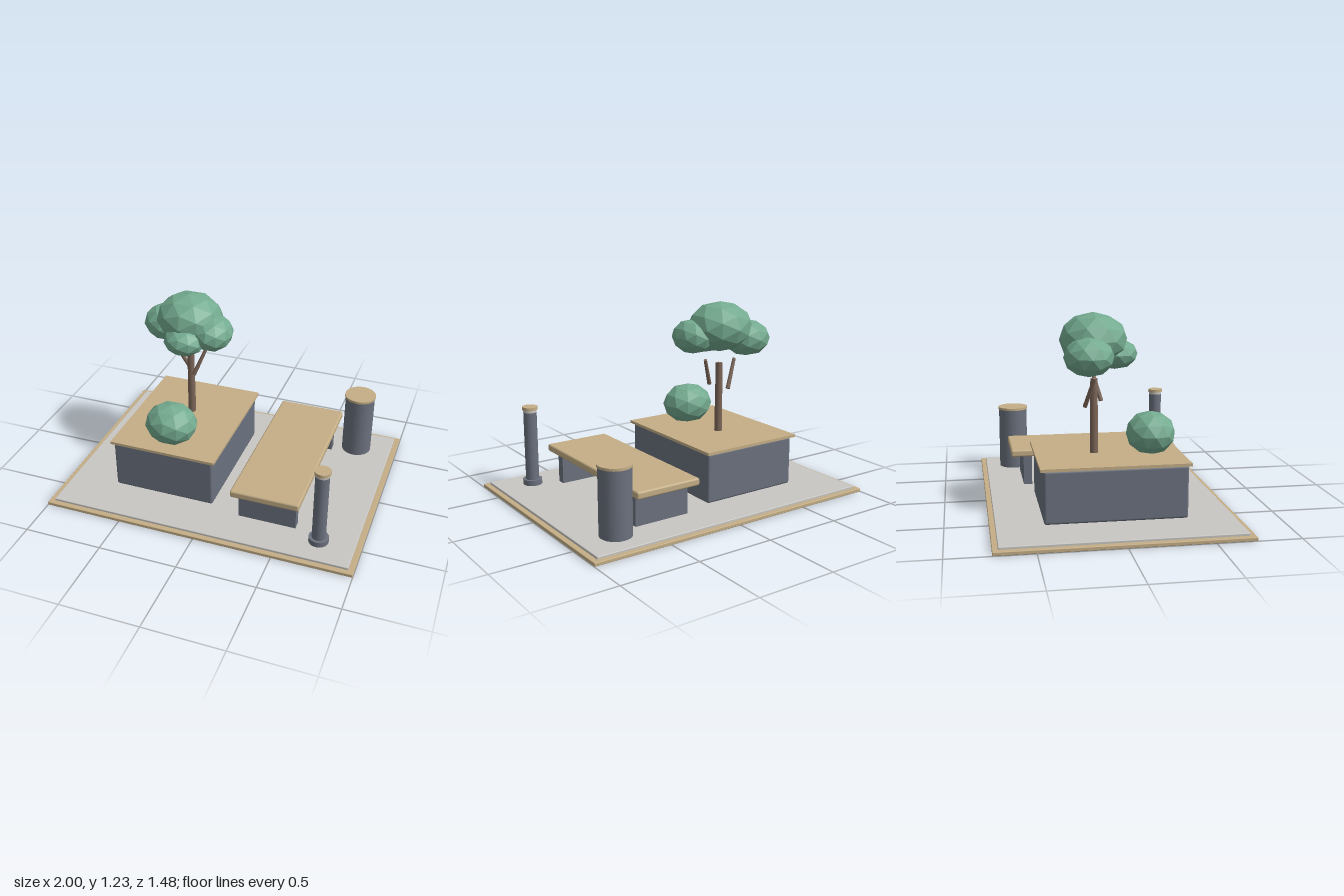
import * as THREE from 'three';
import { RoundedBoxGeometry } from 'three/addons/geometries/RoundedBoxGeometry.js';

const flat = (name, color, flatShading = false) => {
  const m = new THREE.MeshStandardMaterial({ color, flatShading });
  m.name = name;
  return m;
};

export function createModel() {
  const model = new THREE.Group();
  model.name = 'courtyardGarden';
  const tan = flat('tanTimber', 0xc4ae86);
  const slate = flat('slateStone', 0x6b717e);
  const paving = flat('palePaving', 0xc8c7c3);
  const bark = flat('bark', 0x7c6658);
  const leaves = flat('leaves', 0x74ab90, true);

  const add = (name, geometry, material, x, y, z, parent = model) => {
    const mesh = new THREE.Mesh(geometry, material);
    mesh.name = name;
    mesh.position.set(x, y, z);
    parent.add(mesh);
    return mesh;
  };
  // Box given by its centre in x and z and its bottom and top heights
  const box = (name, mat, x, z, w, d, y0, y1, r = 0) => add(name,
    r ? new RoundedBoxGeometry(w, y1 - y0, d, 2, r) : new THREE.BoxGeometry(w, y1 - y0, d),
    mat, x, (y0 + y1) / 2, z);
  // Upright cylinder between two heights
  const drum = (name, mat, x, z, r, y0, y1, sides = 24) => add(name,
    new THREE.CylinderGeometry(r, r, y1 - y0, sides), mat, x, (y0 + y1) / 2, z);

  // Ground slab
  box('baseBoard', tan, 0, 0, 2, 1.48, 0, 0.022, 0.004);
  box('pavedFloor', paving, 0, 0, 1.93, 1.415, 0.015, 0.037, 0.005);

  // Planter
  box('planterBody', slate, -0.322, 0, 0.67, 0.855, 0.037, 0.357, 0.015);
  box('planterTop', tan, -0.322, -0.003, 0.704, 0.89, 0.357, 0.375);

  // Bench
  box('benchSeat', tan, 0.393, -0.004, 0.437, 1.112, 0.233, 0.28, 0.012);
  for (const side of [1, -1]) {
    box('benchLeg', slate, 0.391, side * 0.447 - 0.004, 0.37, 0.055, 0.037, 0.236);
  }

  // Large pillar with a lid
  drum('pillar', slate, 0.731, -0.513, 0.098, 0.037, 0.455);
  drum('pillarLid', tan, 0.731, -0.513, 0.103, 0.452, 0.468, 32);

  // Slim lamp post
  drum('postFoot', slate, 0.74, 0.533, 0.062, 0.037, 0.072);
  drum('postShaft', slate, 0.74, 0.533, 0.043, 0.07, 0.527);
  drum('postLight', paving, 0.74, 0.533, 0.044, 0.526, 0.542);
  drum('postCap', tan, 0.74, 0.533, 0.05, 0.542, 0.562);

  // Tree trunk and forked branches
  const tree = new THREE.Group();
  tree.name = 'tree';
  model.add(tree);
  add('trunk', new THREE.CylinderGeometry(0.022, 0.026, 0.46, 12), bark, -0.322, 0.602, -0.086, tree);
  const branches = [
    [[-0.35, 0.667, -0.145], [-0.435, 0.85, -0.1]],
    [[-0.283, 0.687, -0.036], [-0.215, 0.86, -0.08]],
  ];
  for (const [from, to] of branches) {
    const a = new THREE.Vector3(...from), b = new THREE.Vector3(...to);
    const dir = b.clone().sub(a);
    const branch = add('branch', new THREE.CylinderGeometry(0.011, 0.014, dir.length(), 8),
      bark, (a.x + b.x) / 2, (a.y + b.y) / 2, (a.z + b.z) / 2, tree);
    branch.quaternion.setFromUnitVectors(new THREE.Vector3(0, 1, 0), dir.normalize());
  }

  // Faceted foliage: centre, then radii
  const clumps = [
    ['crownMain', [-0.322, 1.07, -0.09], [0.215, 0.162, 0.206]],
    ['crownRight', [-0.498, 0.988, -0.142], [0.156, 0.118, 0.15]],
    ['crownLeft', [-0.147, 1.015, -0.038], [0.129, 0.111, 0.153]],
    ['crownFront', [-0.304, 0.978, 0.043], [0.136, 0.094, 0.14]],
    ['bush', [-0.322, 0.487, 0.265], [0.171, 0.135, 0.154]],
  ];
  for (const [name, centre, radii] of clumps) {
    add(name, new THREE.IcosahedronGeometry(1, 1), leaves, ...centre,
      name === 'bush' ? model : tree).scale.set(...radii);
  }
  return model;
}
